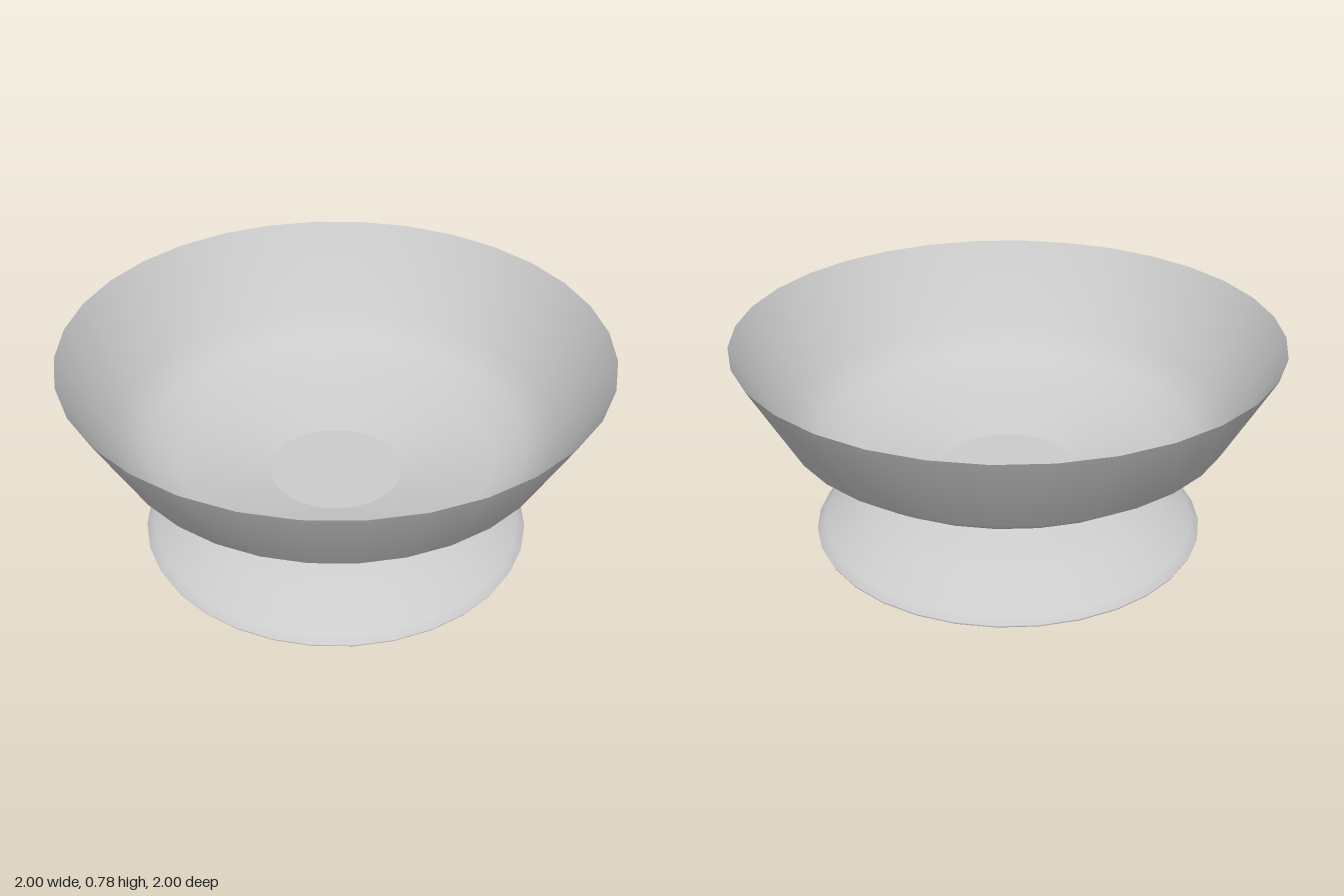
import * as THREE from 'three';

const SEGMENTS = 32;
const material = new THREE.MeshStandardMaterial({ color: 0xcccccc, side: THREE.DoubleSide });

// Smooth surface of revolution from [radius, height] pairs, bottom to top
function turned(name, profile) {
  const points = profile.map(([r, y]) => new THREE.Vector2(r, y));
  const mesh = new THREE.Mesh(new THREE.LatheGeometry(points, SEGMENTS), material);
  mesh.name = name;
  return mesh;
}

// Flat round cap facing up (+1) or down (-1)
function disc(name, radius, y, facing) {
  const geometry = new THREE.CircleGeometry(radius, SEGMENTS);
  geometry.rotateX(-facing * Math.PI / 2);
  const mesh = new THREE.Mesh(geometry, material);
  mesh.name = name;
  mesh.position.y = y;
  return mesh;
}

export function createModel() {
  const group = new THREE.Group();
  group.name = 'pedestalBowl';

  // Domed foot with a thin lip and a flat underside
  group.add(turned('foot', [
    [0.73, 0], [0.735, 0.01], [0.705, 0.035], [0.59, 0.117], [0.49, 0.16], [0.25, 0.232],
  ]));
  group.add(disc('footUnderside', 0.73, 0, -1));

  // Thin open bowl flaring from the narrow waist
  group.add(turned('bowl', [
    [0.25, 0.232], [0.59, 0.307], [0.71, 0.38], [0.82, 0.457], [1, 0.78],
  ]));

  // Flat floor at the waist
  group.add(disc('bowlFloor', 0.25, 0.232, 1));
  return group;
}
